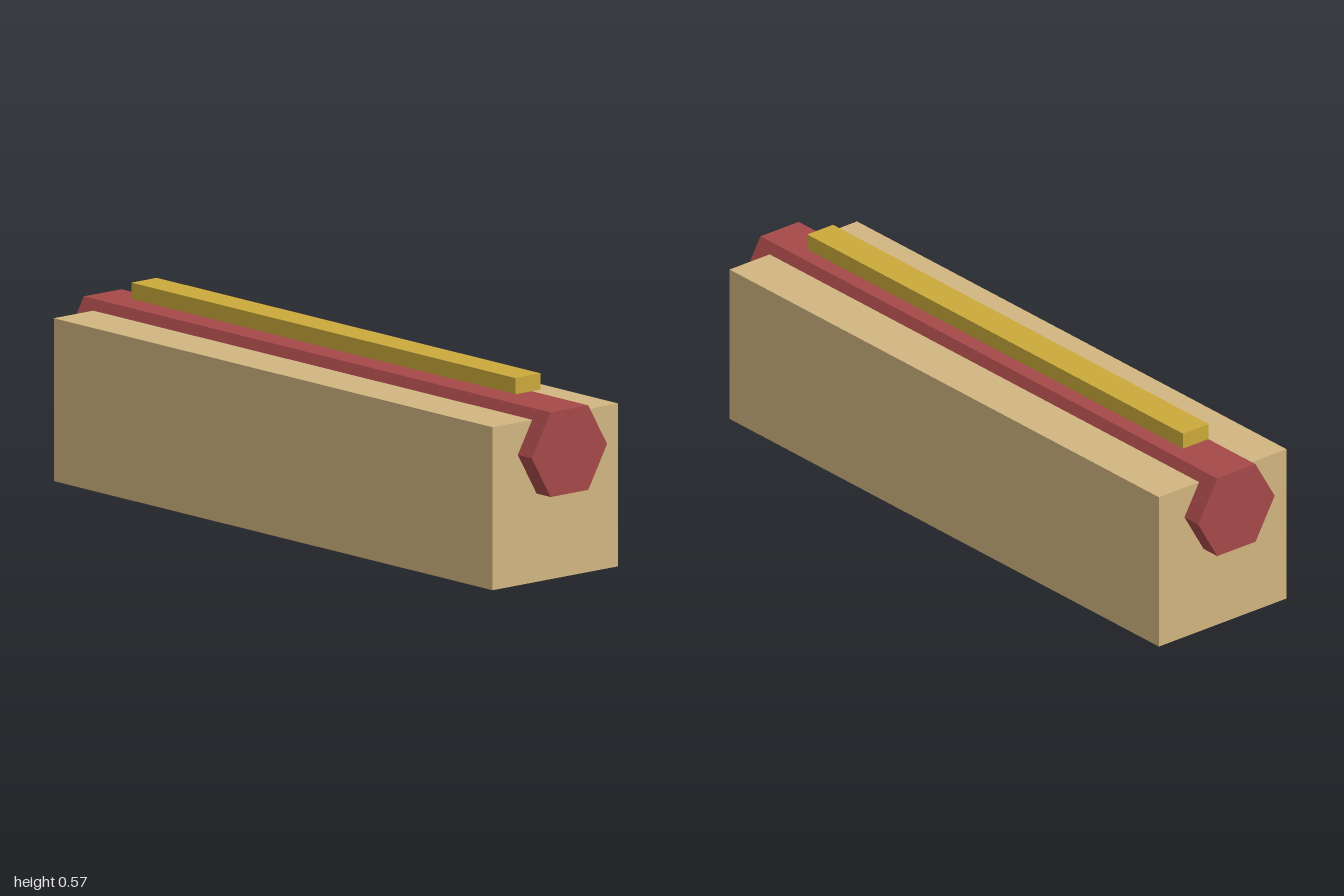
import * as THREE from 'three';

function material(name, color) {
  const m = new THREE.MeshStandardMaterial({ color });
  m.name = name;
  return m;
}

export function createModel() {
  const group = new THREE.Group();
  group.name = 'hotDog';

  const add = (name, geometry, mat, y) => {
    const mesh = new THREE.Mesh(geometry, mat);
    mesh.name = name;
    mesh.position.y = y;
    group.add(mesh);
  };

  // Bun: plain block standing on the ground
  add('bun', new THREE.BoxGeometry(1.88, 0.471, 0.471), material('bread', 0xd1b580), 0.2355);

  // Sausage: six-sided bar along x, flat side up, sunk into the bun
  const sausage = new THREE.CylinderGeometry(0.1412, 0.1412, 2, 6).toNonIndexed();
  sausage.rotateZ(Math.PI / 2);
  sausage.computeVertexNormals(); // flat facets
  add('sausage', sausage, material('sausage red', 0xa54848), 0.3775);

  // Mustard: thin strip held just above the sausage
  add('mustard', new THREE.BoxGeometry(1.645, 0.047, 0.095), material('mustard yellow', 0xcaa93a), 0.5425);

  return group;
}
